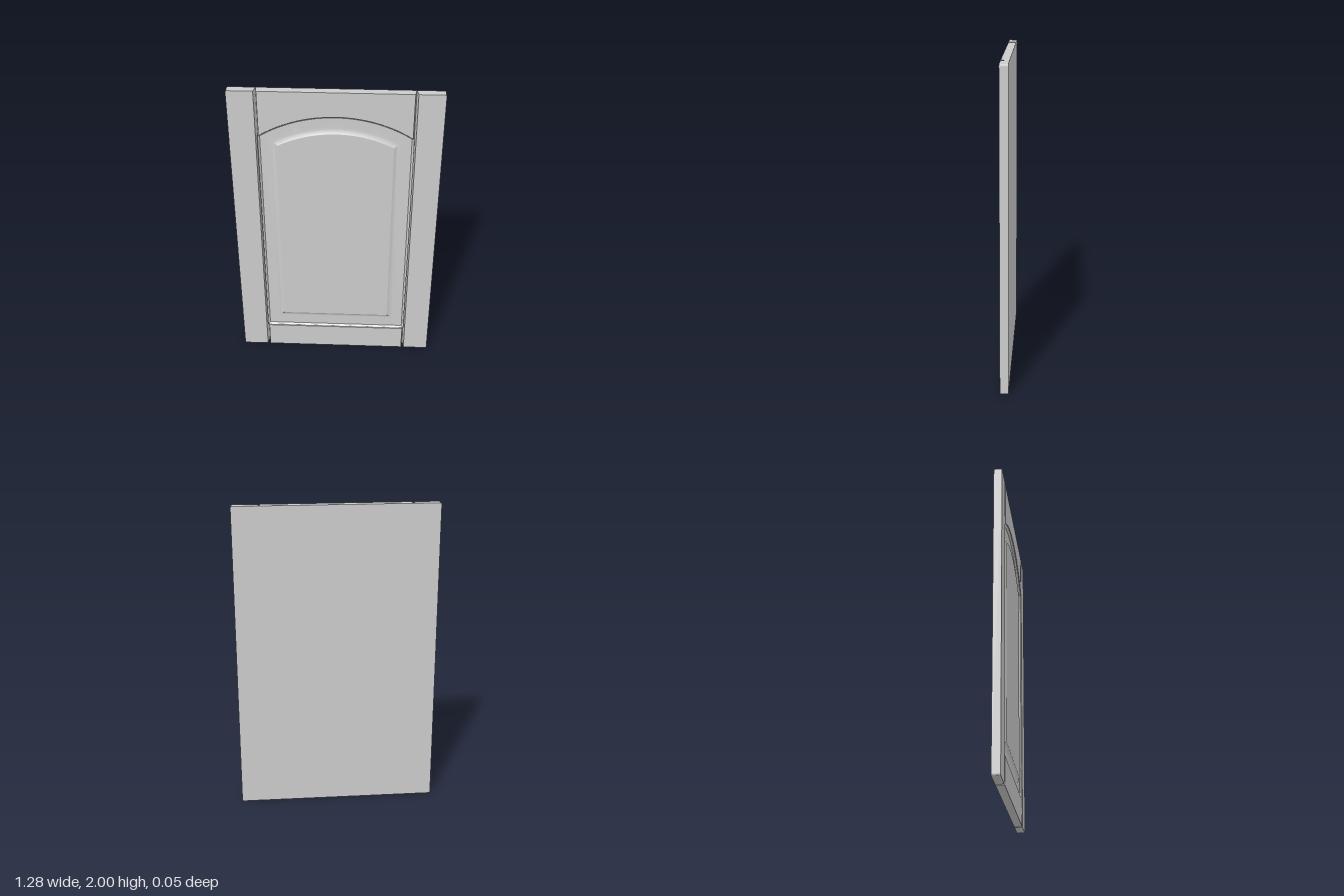
import * as THREE from 'three';
import { toCreasedNormals } from 'three/addons/utils/BufferGeometryUtils.js';

const W = 0.64, H = 2, IN = 0.47, BOTTOM = 0.175;   // half width, height, opening
const BACK = -0.027, FRONT = 0.025, GROOVE = 0.009;
const R = 0.859, CY = 0.981, ARC = 40;              // arch radius, centre height, steps

const material = new THREE.MeshStandardMaterial({ color: 0xcccccc });

// arch points from right to left, moved inwards by d
function arch(d) {
  const r = R - d, a = Math.asin((IN - d) / r), pts = [];
  for (let i = 0; i <= ARC; i++) {
    const t = a - (2 * a * i) / ARC;
    pts.push(new THREE.Vector2(r * Math.sin(t), CY + r * Math.cos(t)));
  }
  return pts;
}

// closed outline of the arched opening, anticlockwise, inset by d
function outline(d) {
  const x = IN - d, y = BOTTOM + d;
  return [new THREE.Vector2(-x, y), new THREE.Vector2(x, y), ...arch(d)];
}

function slab(name, shape, front) {
  const g = new THREE.ExtrudeGeometry(shape, { depth: front - BACK, bevelEnabled: false, curveSegments: 5 });
  g.translate(0, 0, BACK);
  const mesh = new THREE.Mesh(g, material);
  mesh.name = name;
  return mesh;
}

// chamfer the front edges lying on the joint lines x = +-IN
function chamferJoint(mesh, shift) {
  const p = mesh.geometry.attributes.position;
  for (let i = 0; i < p.count; i++) {
    const x = p.getX(i);
    if (p.getZ(i) > FRONT - 1e-4 && Math.abs(Math.abs(x) - IN) < 1e-4) p.setX(i, x + Math.sign(x) * shift);
  }
  mesh.geometry.computeVertexNormals();
  return mesh;
}

// stile with its two outer corners rounded
function stile(side) {
  const r = 0.012, s = new THREE.Shape();
  s.moveTo(side * IN, 0);
  s.lineTo(side * (W - r), 0);
  s.quadraticCurveTo(side * W, 0, side * W, r);
  s.lineTo(side * W, H - r);
  s.quadraticCurveTo(side * W, H, side * (W - r), H);
  s.lineTo(side * IN, H);
  s.closePath();
  return chamferJoint(slab(side > 0 ? 'leftStile' : 'rightStile', s, FRONT), GROOVE);
}

function rail(name, pts) {
  return chamferJoint(slab(name, new THREE.Shape(pts), FRONT), -GROOVE);
}

// moulded surface: nested outlines, each [inset, z]
function moulding(name, profile) {
  const pos = [], index = [], n = ARC + 3;
  for (const [d, z] of profile) for (const p of outline(d)) pos.push(p.x, p.y, z);
  for (let k = 0; k < profile.length - 1; k++) {
    for (let i = 0; i < n; i++) {
      const j = (i + 1) % n, a = k * n + i, b = k * n + j;
      index.push(a, b, b + n, a, b + n, a + n);
    }
  }
  const g = new THREE.BufferGeometry();
  g.setAttribute('position', new THREE.Float32BufferAttribute(pos, 3));
  g.setIndex(index);
  const mesh = new THREE.Mesh(toCreasedNormals(g, 0.35), material);
  mesh.name = name;
  return mesh;
}

export function createModel() {
  const door = new THREE.Group();
  door.name = 'cabinetDoor';

  // frame
  door.add(stile(1), stile(-1));
  const v = (x, y) => new THREE.Vector2(x, y);
  door.add(rail('bottomRail', [v(-IN, 0), v(IN, 0), v(IN, BOTTOM), v(-IN, BOTTOM)]));
  door.add(rail('topRail', [v(IN, H), v(-IN, H), ...arch(0).reverse()]));

  // panel core closing the back
  const recess = 0.008, field = 0.021;
  door.add(slab('panelCore', new THREE.Shape(outline(0)), 0.004));

  // stepped edge around the opening
  door.add(moulding('edgeMoulding', [
    [0, 0.02], [0.003, 0.0195], [0.007, 0.017], [0.01, 0.0135], [0.012, 0.011], [0.014, recess],
  ]));

  // flat border and concave slope up to the raised field
  const slope = [[0.014, recess]];
  for (let i = 0; i <= 8; i++) {
    const t = i / 8;
    slope.push([0.083 + 0.036 * t, recess + (field - recess) * t * t]);
  }
  door.add(moulding('panelBevel', slope));

  const centre = new THREE.Mesh(new THREE.ShapeGeometry(new THREE.Shape(outline(0.119))), material);
  centre.name = 'raisedField';
  centre.position.z = field;
  door.add(centre);

  return door;
}
